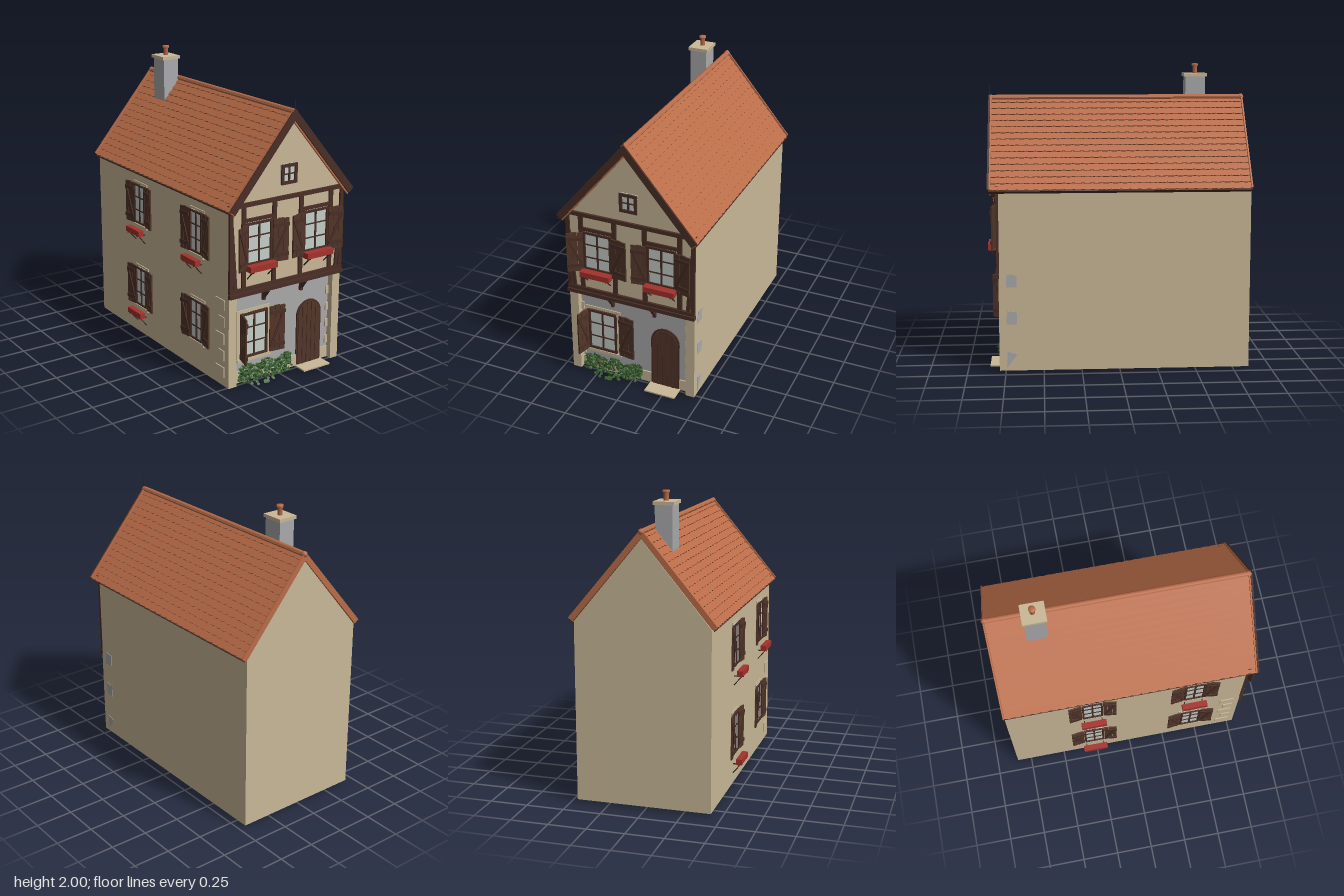
import * as THREE from 'three';
import { mergeGeometries } from 'three/addons/utils/BufferGeometryUtils.js';

const mat = (name, color, side = THREE.FrontSide) => {
  const m = new THREE.MeshStandardMaterial({ color, side });
  m.name = name;
  return m;
};

export function createModel() {
  const house = new THREE.Group();
  house.name = 'house';
  const plaster = mat('plaster', 0xcab998), stone = mat('greyStone', 0xabaaac);
  const tile = mat('roofTile', 0xb96c48), timber = mat('timber', 0x4a2f26);
  const shutterWood = mat('shutterWood', 0x533629), glass = mat('glass', 0xc6cfca);
  const red = mat('flowerBoxRed', 0xa5322c), green = mat('ivyGreen', 0x3a6030, THREE.DoubleSide);
  const iron = mat('iron', 0x2b2624);

  const add = (parent, name, geo, material) => {
    const m = new THREE.Mesh(geo, material);
    m.name = name;
    parent.add(m);
    return m;
  };
  const box = (parent, name, material, x0, x1, y0, y1, z0, z1) => {
    const m = add(parent, name, new THREE.BoxGeometry(x1 - x0, y1 - y0, z1 - z0), material);
    m.position.set((x0 + x1) / 2, (y0 + y1) / 2, (z0 + z1) / 2);
    return m;
  };
  // Straight bar between two points
  const bar = (parent, name, material, a, b, w, d = w) => {
    const p = new THREE.Vector3(...a), q = new THREE.Vector3(...b), dir = q.clone().sub(p);
    const m = add(parent, name, new THREE.BoxGeometry(w, dir.length(), d), material);
    m.position.copy(p).add(q).multiplyScalar(0.5);
    m.quaternion.setFromUnitVectors(new THREE.Vector3(0, 1, 0), dir.normalize());
    return m;
  };
  const poly = pts => new THREE.Shape(pts.map(p => new THREE.Vector2(...p)));
  const extrude = (shape, depth, curveSegments = 10) =>
    new THREE.ExtrudeGeometry(shape, { depth, bevelEnabled: false, curveSegments });

  // Ground floor walls, recessed at the front and hollow inside (plan is x, -z)
  const plan = poly([[-0.43, -0.79], [-0.37, -0.79], [-0.37, -0.74], [0.4, -0.74], [0.4, -0.79],
    [0.46, -0.79], [0.46, 0.85], [-0.43, 0.85]]);
  plan.holes.push(poly([[0.39, 0.79], [0.39, -0.42], [-0.37, -0.42], [-0.37, -0.19], [-0.06, -0.19],
    [-0.06, 0.1], [-0.06, 0.53], [-0.37, 0.53], [-0.37, 0.79]]));
  const ground = add(house, 'groundFloorWalls', extrude(plan, 0.62).rotateX(-Math.PI / 2), plaster);
  ground.position.y = 0.02;
  box(house, 'groundFrontWall', stone, -0.37, 0.4, 0.021, 0.64, 0.735, 0.745);

  // Upper floor and gables
  const upper = add(house, 'upperFloorAndGables', extrude(poly([[-0.43, 0.64], [0.46, 0.64], [0.46, 1.2],
    [0.015, 1.735], [-0.43, 1.2]]), 1.64), plaster);
  upper.position.z = -0.85;

  // Roof: two slopes of overlapping scalloped courses
  const run = 0.48, rise = 0.57, slope = Math.hypot(run, rise), rows = 15, step = slope / rows, n = 28, half = 0.845;
  const edge = [[half, step + 0.008], [-half, step + 0.008]];
  const tw = 2 * half / n;
  for (let i = 0; i < n; i++) {
    const x = -half + i * tw;
    edge.push([x, 0.005], [x + tw * 0.25, 0.001], [x + tw * 0.5, 0], [x + tw * 0.75, 0.001]);
  }
  edge.push([half, 0.005]);
  const course = extrude(poly(edge), 0.009).rotateX(-0.15);
  for (const s of [1, -1]) {
    const side = new THREE.Group();
    side.name = s > 0 ? 'leftRoof' : 'rightRoof';
    const up = new THREE.Vector3(-s * run, rise, 0).normalize();
    const out = new THREE.Vector3(s * rise, run, 0).normalize();
    const along = new THREE.Vector3().crossVectors(up, out);
    side.applyMatrix4(new THREE.Matrix4().makeBasis(along, up, out).setPosition(0.015 + s * run, 1.215, 0));
    box(side, 'roofSlab', tile, -half, half, 0, slope - 0.02, -0.03, -0.013);
    box(side, 'eavesBoard', timber, -half, half, -0.006, 0, -0.032, -0.006);
    for (let i = 0; i < rows; i++) add(side, 'tileCourse', course, tile).position.set(0, i * step, -0.01);
    house.add(side);
  }
  const ridge = add(house, 'ridgeTiles', new THREE.CylinderGeometry(0.017, 0.017, 1.7, 10).rotateX(Math.PI / 2), tile);
  ridge.position.set(0.015, 1.778, -0.002);
  const cap = add(house, 'ridgeEnd', new THREE.SphereGeometry(0.02, 10, 8), tile);
  cap.position.set(0.015, 1.778, -0.845);
  const chevron = t => poly([[-0.467, 1.222], [0.015, 1.797], [0.497, 1.222], [0.47, 1.203], [0.46, 1.203 + 0.06 - t],
    [0.015, 1.795 - t], [-0.43, 1.203 + 0.06 - t], [-0.44, 1.203]]);
  add(house, 'frontBargeboard', extrude(chevron(0.07), 0.012), timber).position.z = 0.843;
  add(house, 'frontRakeTiles', extrude(chevron(0.085), 0.01), tile).position.z = 0.832;
  add(house, 'backRakeTiles', extrude(chevron(0.055), 0.01), tile).position.z = -0.856;
  const spike = add(house, 'finial', new THREE.CylinderGeometry(0.001, 0.004, 0.08, 6), iron);
  spike.position.set(0.015, 1.825, 0.848);

  // Chimney
  box(house, 'chimneyStack', stone, -0.11, 0.005, 1.55, 1.915, -0.605, -0.47);
  box(house, 'chimneyCap', plaster, -0.122, 0.015, 1.913, 1.935, -0.615, -0.46);
  const pot = add(house, 'chimneyPot', new THREE.LatheGeometry([[0.016, 0], [0.016, 0.045], [0.022, 0.05],
    [0.022, 0.065], [0, 0.065]].map(p => new THREE.Vector2(...p)), 14), tile);
  pot.position.set(-0.05, 1.935, -0.54);

  // Timber framing of the upper front
  const T = (x0, x1, y0, y1, z1 = 0.802) => box(house, 'timberBeam', timber, x0, x1, y0, y1, 0.785, z1);
  T(-0.435, 0.465, 0.633, 0.66, 0.812);
  T(-0.432, 0.462, 0.663, 0.688, 0.806);
  T(-0.44, 0.47, 1.213, 1.24, 0.806);
  T(-0.432, -0.405, 0.685, 1.215);
  T(0.435, 0.462, 0.685, 1.215);
  for (const x of [-0.325, -0.09, 0.12, 0.36]) T(x - 0.015, x + 0.015, 0.685, 1.215);
  for (const x of [-0.325, 0.12]) {
    T(x, x + 0.24, 1.112, 1.135);
    T(x, x + 0.24, 0.8, 0.825);
  }
  bar(house, 'cornerBrace', timber, [-0.385, 0.68, 0.792], [-0.415, 1.1, 0.792], 0.025, 0.016);
  bar(house, 'cornerBrace', timber, [0.415, 0.68, 0.792], [0.445, 1.1, 0.792], 0.025, 0.016);
  for (const x of [-0.135, 0.165]) {
    box(house, 'corbel', timber, x - 0.01, x + 0.01, 0.555, 0.635, 0.74, 0.765);
    bar(house, 'corbel', timber, [x, 0.57, 0.75], [x, 0.635, 0.8], 0.02);
  }

  // Window with glazing bars; frame sits on local plane z
  const windowAt = (parent, x0, x1, y0, y1, z, cols, rowsN, f = 0.016) => {
    const g = new THREE.Group();
    g.name = 'window';
    box(g, 'pane', glass, x0, x1, y0, y1, z - 0.005, z + 0.004);
    for (const [a, b, c, d] of [[x0, x0 + f, y0, y1], [x1 - f, x1, y0, y1], [x0, x1, y0, y0 + f], [x0, x1, y1 - f, y1]])
      box(g, 'frame', timber, a, b, c, d, z - 0.004, z + 0.014);
    for (let i = 1; i < cols; i++) {
      const x = x0 + (x1 - x0) * i / cols;
      box(g, 'mullion', timber, x - 0.006, x + 0.006, y0, y1, z, z + 0.01);
    }
    for (let i = 1; i < rowsN; i++) {
      const y = y0 + (y1 - y0) * i / rowsN;
      box(g, 'glazingBar', timber, x0, x1, y - 0.004, y + 0.004, z, z + 0.009);
    }
    parent.add(g);
  };
  // Plank shutter hinged at hx, opening towards dir
  const shutterAt = (parent, hx, dir, w, y0, y1, z, angle) => {
    const g = new THREE.Group();
    g.name = 'shutter';
    g.position.set(hx, 0, z);
    g.rotation.y = -dir * angle;
    for (let i = 0; i < 3; i++) {
      const a = dir * (w * i / 3 + 0.001), b = dir * (w * (i + 1) / 3 - 0.001);
      box(g, 'plank', shutterWood, Math.min(a, b), Math.max(a, b), y0, y1 - (i === 1 ? 0 : 0.004), 0, 0.01);
    }
    for (const y of [y0 + 0.045, y1 - 0.045])
      box(g, 'rail', timber, Math.min(0, dir * w), Math.max(0, dir * w), y - 0.012, y + 0.012, 0.008, 0.016);
    bar(g, 'brace', timber, [dir * 0.012, y0 + 0.05, 0.012], [dir * (w - 0.012), y1 - 0.05, 0.012], 0.018, 0.007);
    parent.add(g);
  };
  // Flower box on two struts
  const flowerBox = (parent, x0, x1, y0, y1, z0, z1) => {
    box(parent, 'flowerBox', red, x0, x1, y0, y1, z0, z1);
    for (const x of [x0 + 0.025, x1 - 0.025]) {
      bar(parent, 'boxStrut', iron, [x, y0 - 0.065, z0 - 0.025], [x, y0, z1 - 0.01], 0.006);
      bar(parent, 'boxStrut', iron, [x, y0 - 0.003, z0 - 0.025], [x, y0 - 0.003, z1], 0.006);
    }
  };

  // Front windows
  windowAt(house, -0.045, 0.077, 1.31, 1.44, 0.793, 2, 2, 0.02);
  windowAt(house, -0.31, -0.11, 0.83, 1.108, 0.793, 2, 3);
  windowAt(house, 0.135, 0.337, 0.83, 1.108, 0.793, 2, 3);
  shutterAt(house, -0.31, -1, 0.108, 0.82, 1.105, 0.803, 0.5);
  shutterAt(house, -0.108, 1, 0.112, 0.82, 1.105, 0.803, 0.15);
  shutterAt(house, 0.136, -1, 0.102, 0.82, 1.105, 0.803, 0.15);
  shutterAt(house, 0.336, 1, 0.108, 0.82, 1.105, 0.803, 0.2);
  flowerBox(house, -0.315, -0.105, 0.8, 0.838, 0.81, 0.86);
  flowerBox(house, 0.132, 0.345, 0.8, 0.838, 0.81, 0.86);
  box(house, 'windowSurround', plaster, -0.34, -0.085, 0.168, 0.515, 0.74, 0.752);
  box(house, 'windowSill', plaster, -0.345, -0.08, 0.165, 0.185, 0.74, 0.768);
  windowAt(house, -0.315, -0.108, 0.188, 0.495, 0.753, 2, 3);
  shutterAt(house, -0.32, -1, 0.11, 0.185, 0.5, 0.755, 1.3);
  shutterAt(house, -0.09, 1, 0.113, 0.185, 0.5, 0.757, 0.12);

  // Arched plank door, plinth and step
  const arch = (x0, x1, y0, y1) => {
    const s = new THREE.Shape(), c = (x0 + x1) / 2, r = (x1 - x0) / 2;
    s.moveTo(x0, y0);
    s.lineTo(x1, y0);
    s.absarc(c, y1 - r, r, 0, Math.PI, false);
    return s;
  };
  add(house, 'doorFrame', extrude(arch(0.138, 0.338, 0.021, 0.472), 0.014, 16), timber).position.z = 0.74;
  add(house, 'door', extrude(arch(0.15, 0.326, 0.021, 0.46), 0.008, 16), shutterWood).position.z = 0.75;
  for (let i = 1; i < 5; i++) {
    const x = 0.15 + 0.0352 * i;
    const top = 0.372 + Math.sqrt(0.088 ** 2 - (x - 0.238) ** 2);
    box(house, 'doorPlankJoint', timber, x - 0.003, x + 0.003, 0.022, top, 0.75, 0.7605);
  }
  box(house, 'plinth', plaster, -0.37, 0.138, 0.021, 0.1, 0.74, 0.754);
  box(house, 'plinth', plaster, 0.338, 0.4, 0.021, 0.1, 0.74, 0.754);
  box(house, 'doorStep', plaster, 0.13, 0.345, 0.016, 0.026, 0.74, 0.855);

  // Corner stones
  for (let i = 0; i < 4; i++) {
    const y = 0.125 + i * 0.118;
    box(house, 'cornerStone', plaster, 0.38, 0.401, y, y + 0.055, 0.74, 0.754);
    box(house, 'cornerStone', plaster, -0.371, -0.35, y, y + 0.055, 0.74, 0.754);
  }
  for (let i = 0; i < 5; i++)
    box(house, 'sideCornerStone', plaster, -0.437, -0.42, 0.08 + i * 0.115, 0.15 + i * 0.115, 0.65 + (i % 2) * 0.03, 0.745);
  for (const y of [0.04, 0.33, 0.575]) {
    const patch = add(house, 'exposedStone', extrude(poly([[-0.742, y], [-0.675, y + 0.085 * (y < 0.1)],
      [-0.672, y + 0.08 + 0.01 * (y < 0.1)], [-0.738, y + 0.09 + 0.02 * (y < 0.1)]]), 0.004), stone);
    patch.rotation.y = Math.PI / 2;
    patch.position.x = 0.459;
  }

  // Windows of the right wall; local x runs along world z
  const wall = new THREE.Group();
  wall.name = 'rightWallWindows';
  wall.position.x = -0.43;
  wall.rotation.y = -Math.PI / 2;
  house.add(wall);
  for (const x of [-0.265, 0.44]) for (const y of [0.235, 0.84]) {
    box(wall, 'windowSurround', plaster, x - 0.085, x + 0.085, y - 0.015, y + 0.295, -0.005, 0.006);
    box(wall, 'windowSill', plaster, x - 0.09, x + 0.09, y - 0.022, y - 0.004, -0.005, 0.022);
    windowAt(wall, x - 0.07, x + 0.07, y, y + 0.28, 0.007, 2, 3, 0.012);
    for (const d of [-1, 1]) shutterAt(wall, x + d * 0.074, d, 0.09, y - 0.005, y + 0.285, 0.009, 0.12);
    if (x < 0 || y > 0.5) flowerBox(wall, x - 0.087, x + 0.087, y - 0.06, y - 0.022, 0.038, 0.077);
  }

  // Ivy: many small folded leaves
  let seed = 7;
  const rnd = () => (seed = (seed * 16807) % 2147483647) / 2147483647;
  const leaves = [];
  for (let i = 0; i < 520; i++) {
    const leaf = new THREE.CircleGeometry(0.008 + rnd() * 0.006, 5);
    leaf.attributes.position.setZ(0, 0.004);
    leaf.rotateX((rnd() - 0.6) * 1.6).rotateY((rnd() - 0.5) * 1.8).rotateZ(rnd() * 6);
    const x = -0.335 + rnd() * 0.41, top = 0.125 + 0.012 * Math.sin(x * 40);
    const y = 0.018 + (0.15 + 0.85 * rnd()) * (top - 0.005);
    leaf.translate(x, y, 0.765 + rnd() * 0.06 * (1.1 - y / 0.16));
    leaves.push(leaf);
  }
  for (let i = 0; i < 12; i++)
    leaves.push(new THREE.CircleGeometry(0.012, 5).rotateX(-0.8).translate(-0.27 + rnd() * 0.2, 0.011 + rnd() * 0.01, 0.8 + rnd() * 0.03));
  add(house, 'ivy', mergeGeometries(leaves).toNonIndexed(), green).geometry.computeVertexNormals();

  return house;
}
